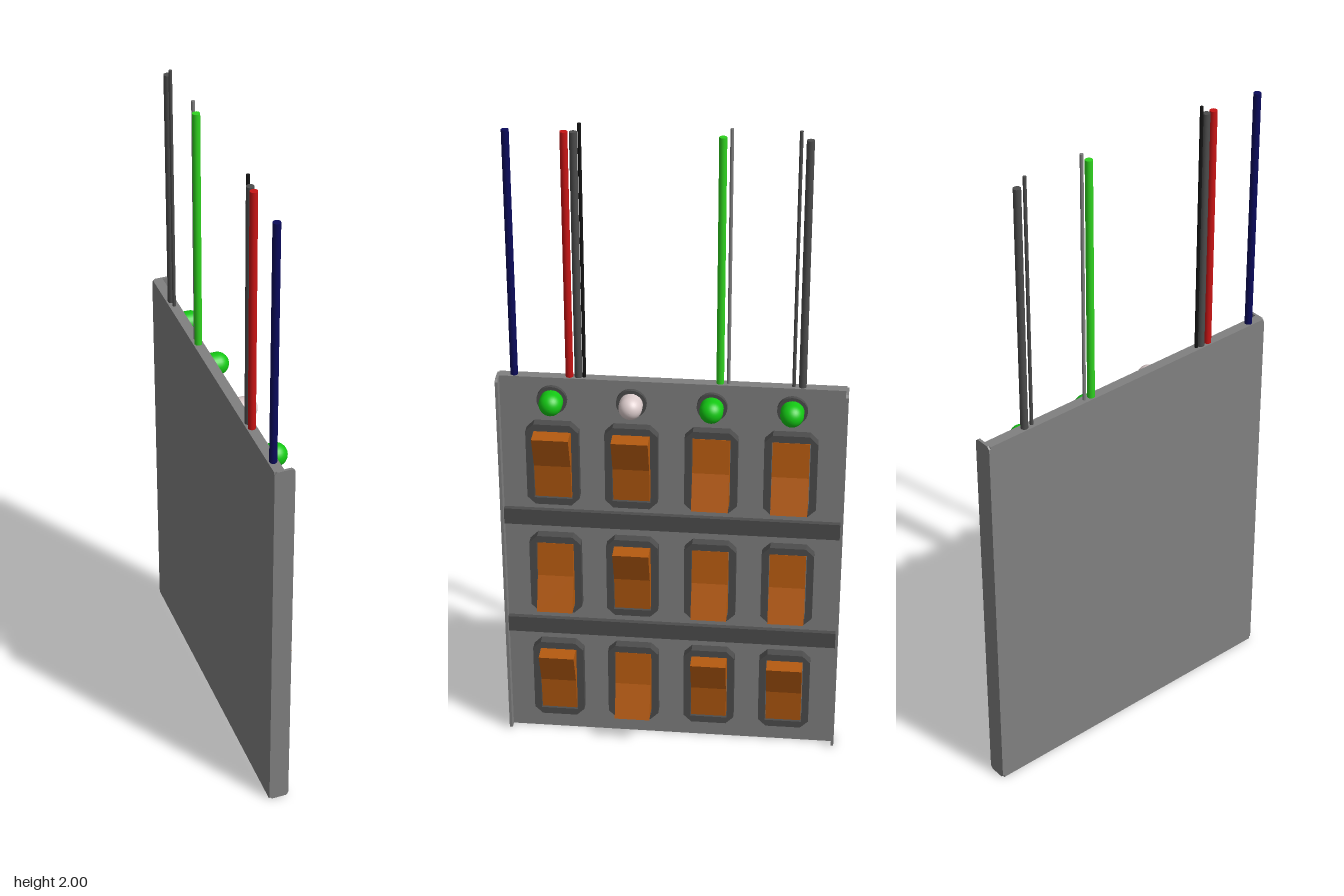
import * as THREE from 'three';

const mat = (name, color) => {
  const m = new THREE.MeshStandardMaterial({ color });
  m.name = name;
  return m;
};

export function createModel() {
  const gray = mat('panel gray', 0x808080);
  const dark = mat('dark gray', 0x4c4c4c);
  const orange = mat('rocker orange', 0xb45a10);
  const green = mat('lamp green', 0x14c814);
  const white = mat('lamp white', 0xdccccc);
  const navy = mat('wire navy', 0x0a0a5a);
  const red = mat('wire red', 0xc81414);
  const wireGreen = mat('wire green', 0x2fd21f);
  const black = mat('wire black', 0x141414);

  // Parts are laid out facing +z, then the panel is turned to face +x.
  const panel = new THREE.Group();
  panel.name = 'switchPanel';
  panel.rotation.y = Math.PI / 2;

  const add = (name, geometry, material, x, y, z) => {
    const mesh = new THREE.Mesh(geometry, material);
    mesh.name = name;
    mesh.position.set(x, y, z);
    panel.add(mesh);
    return mesh;
  };
  const polygon = (points) => new THREE.Shape(points.map(([x, y]) => new THREE.Vector2(x, y)));
  const extrude = (shape, depth) => new THREE.ExtrudeGeometry(shape, { depth, bevelEnabled: false });

  // Rectangle with its corners cut off
  const cutRect = (w, h, c) => polygon([
    [-w + c, -h], [w - c, -h], [w, -h + c], [w, h - c],
    [w - c, h], [-w + c, h], [-w, h - c], [-w, -h + c],
  ]);

  // Back plate with a thin lip along both sides
  add('backPlate', new THREE.BoxGeometry(1.0, 1.23, 0.03), gray, 0, 0.615, -0.04);
  const lip = extrude(polygon([
    [-0.055, 0.008], [-0.047, 0], [-0.003, 0], [0.005, 0.008],
    [0.005, 1.222], [-0.003, 1.23], [-0.047, 1.23], [-0.055, 1.222],
  ]), 0.008).rotateY(-Math.PI / 2);
  add('rightLip', lip, gray, -0.497, 0, 0);
  add('leftLip', lip, gray, 0.505, 0, 0);

  // Dividers between the rows
  for (const y of [0.768, 0.385]) {
    add('divider', new THREE.BoxGeometry(0.994, 0.052, 0.016), dark, 0, y, -0.018);
  }

  // Switch frame with a rectangular opening
  const frameShape = cutRect(0.077, 0.133, 0.024);
  frameShape.holes.push(polygon([[-0.056, -0.111], [-0.056, 0.111], [0.056, 0.111], [0.056, -0.111]]));
  const frame = extrude(frameShape, 0.03);

  // Rocker: one end stands out, the other is pressed in
  const rocker = (s) => extrude(polygon([
    [-0.024, -0.108 * s], [0.001, -0.108 * s], [0.011, 0], [0.05, 0.106 * s], [-0.024, 0.109 * s],
  ]), 0.107).rotateY(-Math.PI / 2).translate(0.0535, 0, 0);
  const rockers = { 1: rocker(1), [-1]: rocker(-1) };

  const columns = [-0.345, -0.115, 0.117, 0.347];
  const rows = [
    { y: 0.958, states: [1, 1, -1, -1] },
    { y: 0.58, states: [-1, 1, -1, -1] },
    { y: 0.2, states: [1, -1, 1, 1] },
  ];
  for (const { y, states } of rows) {
    columns.forEach((x, i) => {
      add('switchFrame', frame, dark, x, y, -0.025);
      add('rocker', rockers[states[i]], orange, x, y, 0);
    });
  }

  // Domed lamps in dark collars
  const dome = [[0.034, 0], [0.034, 0.026]].map(([r, h]) => new THREE.Vector2(r, h));
  for (let i = 1; i <= 10; i++) {
    const a = (i / 10) * Math.PI / 2;
    dome.push(new THREE.Vector2(i === 10 ? 0 : 0.034 * Math.cos(a), 0.026 + 0.034 * Math.sin(a)));
  }
  const lamp = new THREE.LatheGeometry(dome, 28).rotateX(Math.PI / 2);
  const collar = new THREE.CylinderGeometry(0.044, 0.044, 0.012, 28).rotateX(Math.PI / 2);
  columns.forEach((x, i) => {
    add('lampCollar', collar, dark, x, 1.162, -0.019);
    add('lamp', lamp, i === 1 ? white : green, x, 1.162, -0.016);
  });

  // Wires rising from the top edge: material, sideways position, radius, top
  const wires = [
    [navy, -0.455, 0.011, 1.975],
    [red, -0.295, 0.011, 1.975],
    [dark, -0.269, 0.011, 1.975],
    [black, -0.252, 0.005, 2],
    [wireGreen, 0.138, 0.011, 1.975],
    [gray, 0.162, 0.005, 2],
    [dark, 0.348, 0.005, 2],
    [dark, 0.373, 0.011, 1.975],
  ];
  for (const [material, x, r, top] of wires) {
    const length = top - 1.2;
    add('wire', new THREE.CylinderGeometry(r, r, length, 16), material, x, 1.2 + length / 2, -0.04);
  }

  const model = new THREE.Group();
  model.name = 'model';
  model.add(panel);
  return model;
}
